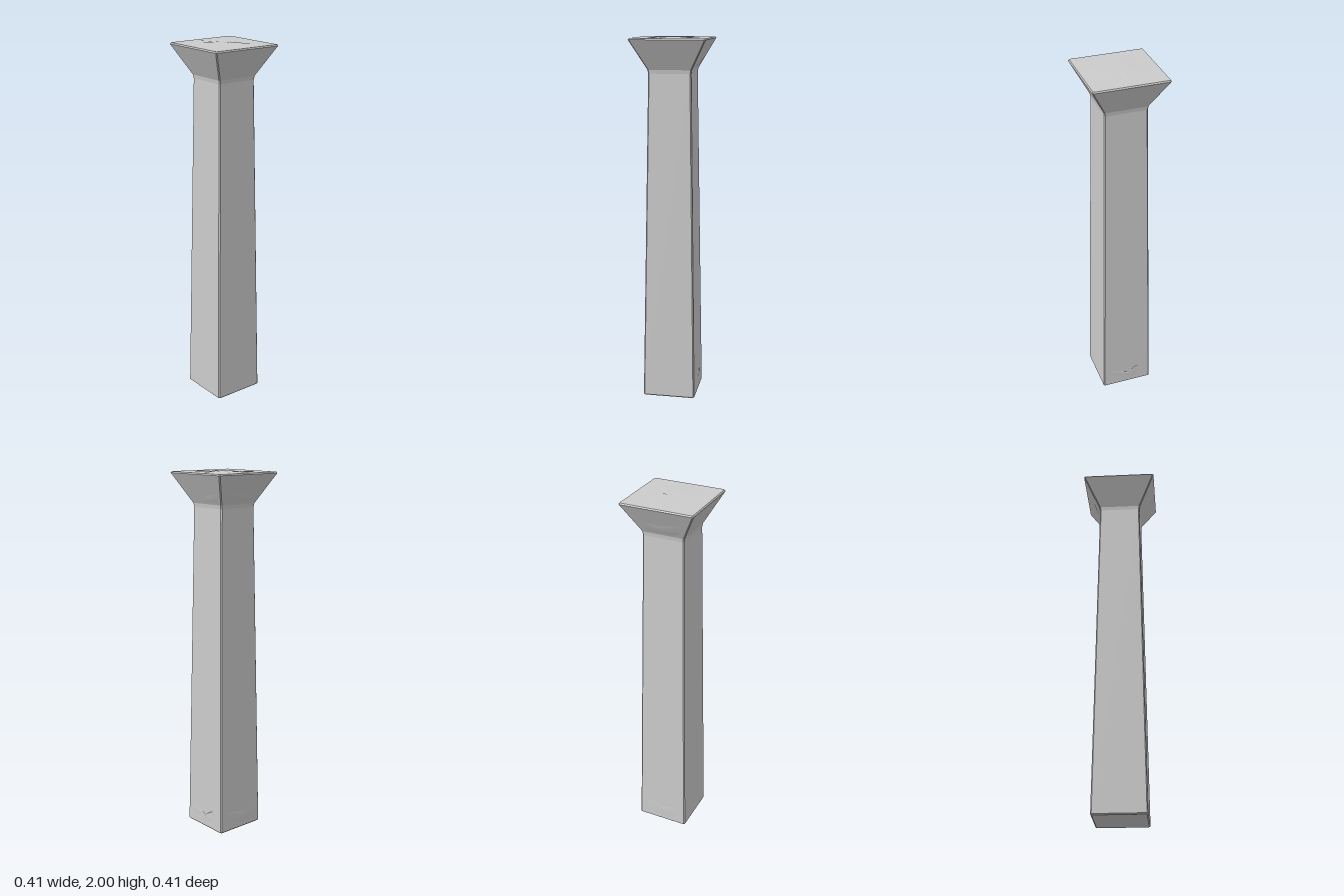
import * as THREE from 'three';

const material = new THREE.MeshStandardMaterial({ color: 0xcccccc, flatShading: true });
const worn = new THREE.MeshStandardMaterial({ color: 0xcccccc });

// [height, half width] of the square column from bottom to top
const profile = [[0, 0.139], [0.006, 0.145], [1.81, 0.115], [1.83, 0.118], [1.988, 0.203], [1.995, 0.198]];

function halfWidth(y) {
  for (let i = 1; i < profile.length; i++) {
    const [y0, w0] = profile[i - 1], [y1, w1] = profile[i];
    if (y <= y1) return w0 + (w1 - w0) * (y - y0) / (y1 - y0);
  }
  return profile.at(-1)[1];
}

function makeMesh(name, positions, index, mat) {
  const geometry = new THREE.BufferGeometry();
  geometry.setAttribute('position', new THREE.Float32BufferAttribute(positions, 3));
  geometry.setIndex(index);
  geometry.computeVertexNormals();
  const mesh = new THREE.Mesh(geometry, mat);
  mesh.name = name;
  return mesh;
}

// Square section with chamfered corners, lofted through part of the profile
function loft(name, rows, bevel) {
  const positions = [], index = [];
  for (const [y, w] of rows) {
    const c = w - bevel;
    for (const [x, z] of [[w, c], [w, -c], [c, -w], [-c, -w], [-w, -c], [-w, c], [-c, w], [c, w]])
      positions.push(x, y, z);
  }
  for (let r = 0; r < rows.length - 1; r++)
    for (let i = 0; i < 8; i++) {
      const a = r * 8 + i, b = r * 8 + (i + 1) % 8;
      index.push(a, b, b + 8, a, b + 8, a + 8);
    }
  const top = (rows.length - 1) * 8;
  for (let i = 1; i < 7; i++) {
    index.push(0, i + 1, i);
    index.push(top, top + i, top + i + 1);
  }
  return makeMesh(name, positions, index, material);
}

// Shallow irregular swelling: a fan whose centre stands proud of its sunken rim
function patch(name, outline, centre, lift, place) {
  const positions = [...place(...centre, lift)], index = [];
  const n = outline.length;
  outline.forEach(([u, v], i) => {
    positions.push(...place(u, v, -0.0005));
    index.push(0, i + 1, (i + 1) % n + 1);
  });
  return makeMesh(name, positions, index, worn);
}

// Surface frames: u runs to the viewer's right, v runs up
const onLeft = (u, v, d) => [halfWidth(v) + d, v, -u];
const onBack = (u, v, d) => [-u, v, -halfWidth(v) - d];
const onTop = (u, v, d) => [u, 1.995 + d, -v];

export function createModel() {
  const group = new THREE.Group();
  group.name = 'column';

  // Tapered shaft and flared capital
  group.add(loft('shaft', profile.slice(0, 3), 0.006));
  group.add(loft('capital', profile.slice(2), 0.005));

  // Worn areas of the stone
  group.add(patch('wornTop', [
    [0.17, 0.01], [0.15, 0.09], [0.10, 0.11], [0.13, 0.16], [0.08, 0.13], [0.08, 0.18], [0.02, 0.175],
    [-0.05, 0.185], [-0.04, 0.11], [-0.11, 0.165], [-0.16, 0.11], [-0.165, 0], [-0.15, -0.07],
    [-0.13, -0.16], [-0.05, -0.18], [0.07, -0.17], [0.08, -0.13], [0.13, -0.135], [0.15, -0.115],
    [0.05, -0.015], [0.13, -0.01],
  ], [0.01, 0], 0.005, onTop));
  group.add(patch('wornLeftFoot', [
    [-0.12, 0.12], [-0.11, 0.07], [0.05, 0.035], [0.08, 0.06], [0.1, 0.12], [0.06, 0.11], [0.03, 0.065],
  ], [0, 0.065], 0.003, onLeft));
  group.add(patch('wornBackFoot', [
    [-0.12, 0.13], [-0.1, 0.05], [0.02, 0.02], [0.1, 0.06], [0.11, 0.11], [0, 0.1],
  ], [0, 0.07], 0.003, onBack));
  group.add(patch('wornBackCapital', [
    [-0.11, 1.9], [-0.1, 1.84], [0.08, 1.84], [0.12, 1.87], [0.13, 1.92], [0, 1.89],
  ], [0, 1.865], 0.004, onBack));
  group.add(patch('wornLeftCapital', [
    [-0.06, 1.84], [0.1, 1.84], [0.14, 1.9], [0.04, 1.88],
  ], [0.06, 1.86], 0.003, onLeft));

  return group;
}
